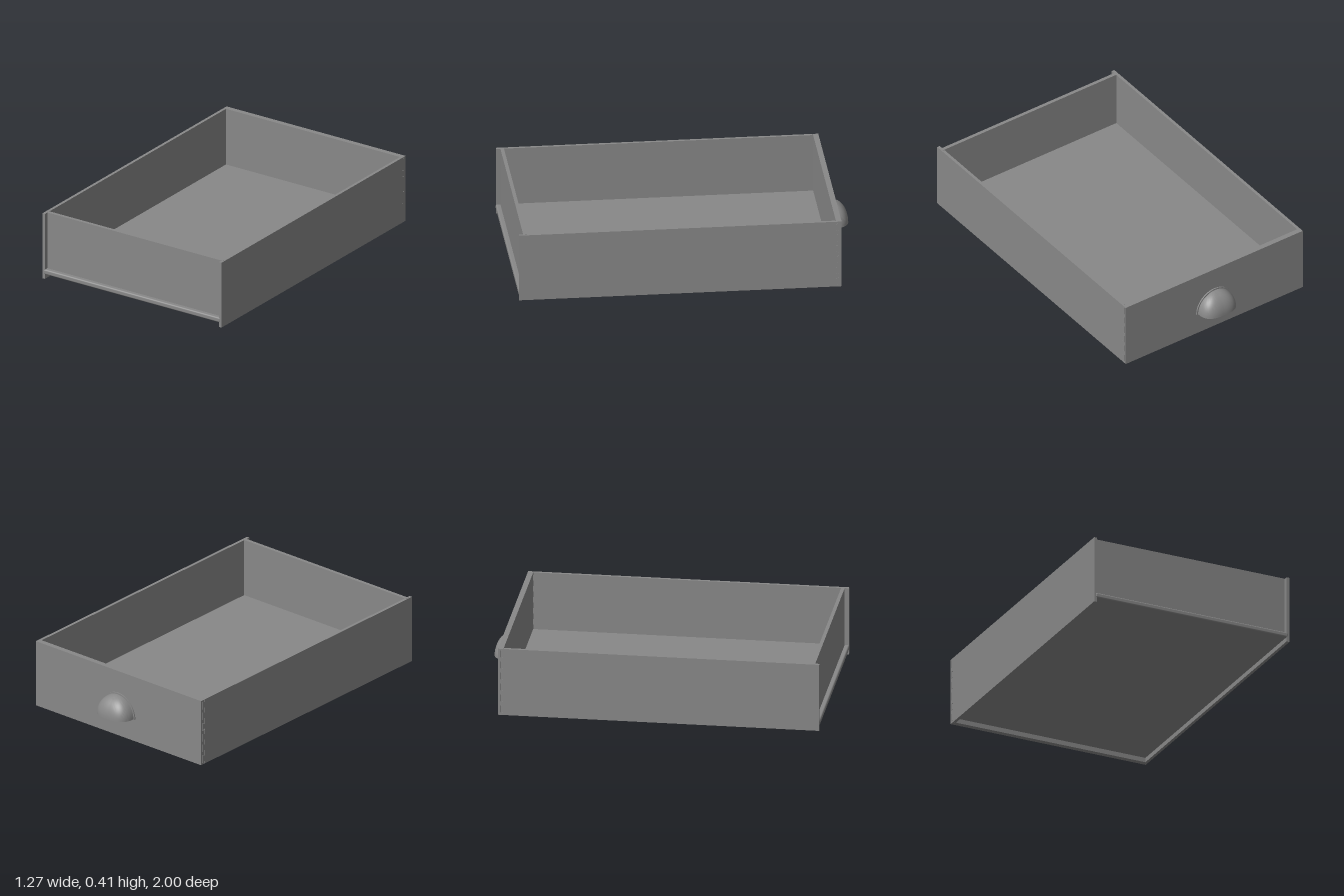
import * as THREE from 'three';
import { toCreasedNormals } from 'three/addons/utils/BufferGeometryUtils.js';
import { RoundedBoxGeometry } from 'three/addons/geometries/RoundedBoxGeometry.js';

const W = 0.635, H = 0.413, T = 0.018;           // half width, height, side thickness
const FACE = -0.895, LAP = -0.88, SHOULDER = -0.863, END = 0.998;
const TAILS = 6;

export function createModel() {
  const group = new THREE.Group();
  const mat = new THREE.MeshStandardMaterial({ color: 0x888888 });

  const add = (name, geo, x = 0, y = 0, z = 0) => {
    const mesh = new THREE.Mesh(geo, mat);
    mesh.name = name;
    mesh.position.set(x, y, z);
    group.add(mesh);
  };
  const box = (name, x0, x1, y0, y1, z0, z1) =>
    add(name, new THREE.BoxGeometry(x1 - x0, y1 - y0, z1 - z0), (x0 + x1) / 2, (y0 + y1) / 2, (z0 + z1) / 2);

  // Dovetail line running up the joint, as [z, y] points, set back by a small gap
  const joint = (gap) => {
    const pitch = H / TAILS, neck = pitch * 0.27 - gap, tip = pitch * 0.36 - gap;
    const shoulder = SHOULDER + gap, lap = LAP + gap;
    const line = [[shoulder, 0]];
    for (let i = 0; i < TAILS; i++) {
      const c = (i + 0.5) * pitch;
      line.push([shoulder, c - neck], [lap, c - tip], [lap, c + tip], [shoulder, c + neck]);
    }
    return [...line, [shoulder, H]];
  };

  // Profile in the z-y plane, extruded along x from x0
  const slab = (name, points, x0) => {
    const shape = new THREE.Shape(points.map(([z, y]) => new THREE.Vector2(-z, y)));
    const geo = new THREE.ExtrudeGeometry(shape, { depth: T, bevelEnabled: false });
    geo.rotateY(Math.PI / 2);
    add(name, geo, x0);
  };
  for (const [label, x0] of [['left', W - T], ['right', -W]]) {
    slab(label + 'Side', [...joint(0.0015), [END, H], [END, 0]], x0);
    slab(label + 'DovetailPins', [...joint(0), [FACE, H], [FACE, 0]], x0);
  }

  // Handle panel, opposite end panel and the floor held in the side grooves
  box('handlePanel', -W + T, W - T, 0, H, FACE, SHOULDER);
  box('endPanel', -0.627, 0.627, 0.05, H + 0.001, 0.952, 0.973);
  const z0 = -0.875, z1 = 1;
  add('floorPanel', new RoundedBoxGeometry(1.256, 0.031, z1 - z0, 3, 0.009), 0, 0.0435, (z0 + z1) / 2);

  // Cup pull: half-turned hollow dome, squared slightly in plan
  const profile = [];
  const N = 16, inner = 0.92;
  for (let i = 0; i <= N; i++) {
    const a = (i / N) * Math.PI / 2;
    profile.push(new THREE.Vector2(Math.max(0, Math.cos(a)), Math.sin(a)));
  }
  for (let i = N; i >= 0; i--) {
    const a = (i / N) * Math.PI / 2;
    profile.push(new THREE.Vector2(Math.max(0, Math.cos(a)) * inner, Math.sin(a) * inner));
  }
  profile.push(profile[0].clone());
  const cup = new THREE.LatheGeometry(profile, 40, Math.PI / 2, Math.PI);
  const p = cup.attributes.position;
  for (let i = 0; i < p.count; i++) {
    const x = p.getX(i), z = p.getZ(i), r = Math.hypot(x, z);
    const k = r > 1e-6 ? r / Math.pow(Math.abs(x) ** 2.8 + Math.abs(z) ** 2.8, 1 / 2.8) : 1;
    p.setXYZ(i, x * k * 0.122, p.getY(i) * 0.125, z * k * 0.105);
  }
  add('cupPull', toCreasedNormals(cup, 0.7), 0, 0.142, FACE);

  // Thin arched flange where the pull meets the panel
  const flange = new THREE.Shape();
  flange.moveTo(0.13, 0);
  flange.absellipse(0, 0, 0.13, 0.135, 0, Math.PI, false, 0);
  flange.lineTo(-0.108, 0);
  flange.absellipse(0, 0, 0.108, 0.113, Math.PI, 0, true, 0);
  flange.closePath();
  const flangeGeo = new THREE.ExtrudeGeometry(flange, { depth: 0.008, bevelEnabled: false, curveSegments: 32 });
  add('pullFlange', toCreasedNormals(flangeGeo, 0.7), 0, 0.14, FACE - 0.008);

  return group;
}
